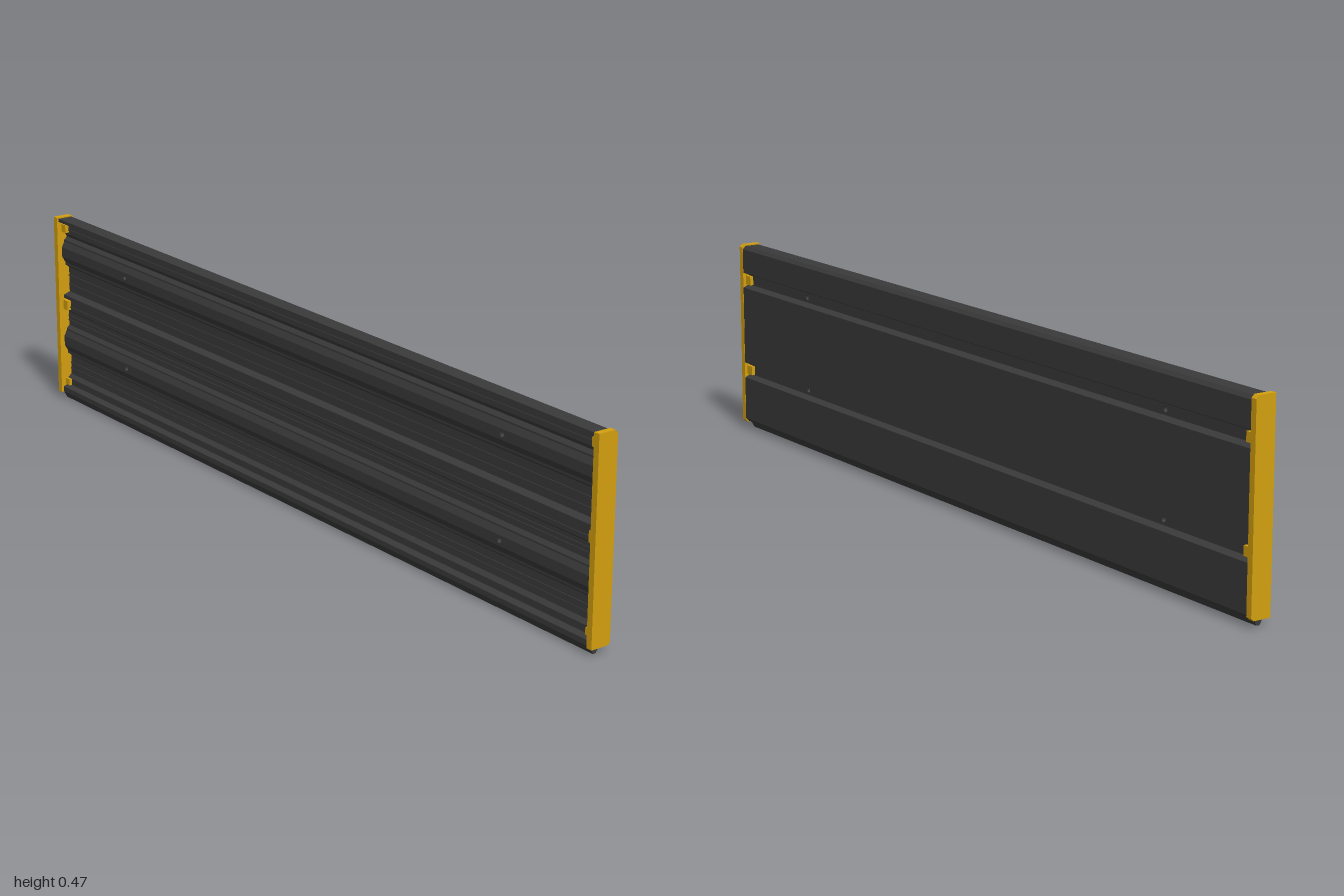
import * as THREE from 'three';

const dark = new THREE.MeshStandardMaterial({ color: 0x3a3a3a, side: THREE.DoubleSide, flatShading: true });
const yellow = new THREE.MeshStandardMaterial({ color: 0xd4a010, side: THREE.DoubleSide, flatShading: true });

const HALF = 0.987;          // half length of the panel between the caps
const BOLT_X = 0.7;
const BOLT_Y = [0.381, 0.151];
const BOLT_R = 0.006;

// Sweep a [z, y] profile along x; flat bands that carry bolt holes are left out.
function sweep(profile, half) {
  const pos = [];
  for (let i = 0; i + 1 < profile.length; i++) {
    const [z0, y0] = profile[i], [z1, y1] = profile[i + 1];
    if (z0 === z1 && BOLT_Y.some((y) => Math.abs((y0 + y1) / 2 - y) < 0.001)) continue;
    pos.push(-half, y0, z0, half, y0, z0, half, y1, z1);
    pos.push(-half, y0, z0, half, y1, z1, -half, y1, z1);
  }
  const g = new THREE.BufferGeometry();
  g.setAttribute('position', new THREE.Float32BufferAttribute(pos, 3));
  g.computeVertexNormals();
  return g;
}

function polygon(points) {
  return new THREE.Shape(points.map(([a, b]) => new THREE.Vector2(a, b)));
}

// Flat strip at height y with the two bolt holes cut out
function drilledStrip(y, h) {
  const s = polygon([[-HALF, y - h], [HALF, y - h], [HALF, y + h], [-HALF, y + h]]);
  for (const x of [-BOLT_X, BOLT_X]) {
    s.holes.push(new THREE.Path().absarc(x, y, BOLT_R, 0, Math.PI * 2, true));
  }
  return new THREE.ShapeGeometry(s, 12);
}

export function createModel() {
  const group = new THREE.Group();
  const add = (name, geometry, material, x = 0, y = 0, z = 0) => {
    const m = new THREE.Mesh(geometry, material);
    m.name = name;
    m.position.set(x, y, z);
    group.add(m);
    return m;
  };

  // Ribbed front face, bottom to top
  const bulge = (c) => [
    [-0.006, c - 0.042], [0.004, c - 0.034], [0.004, c - 0.028], [0.013, c - 0.012],
    [0.013, c + 0.012], [0.006, c + 0.026], [0.006, c + 0.03], [-0.002, c + 0.038],
  ];
  const front = [
    [0.019, 0.018], [0.019, 0.03], [0.006, 0.036], [0.006, 0.052], [-0.004, 0.06],
    ...bulge(BOLT_Y[1]),
    [-0.002, 0.225], [0.003, 0.23], [0.003, 0.258], [0.011, 0.262], [0.011, 0.27], [-0.006, 0.276],
    ...bulge(BOLT_Y[0]),
    [0.003, 0.428], [0.003, 0.452], [0.021, 0.459], [0.021, 0.467],
  ];
  add('frontFace', sweep(front, HALF), dark);

  // Smooth back face with two channels, top to bottom, closed over the top edge
  const channel = (c) => [
    [-0.0235, c + 0.019], [-0.008, c + 0.012], [-0.008, c - 0.012], [-0.0235, c - 0.019],
  ];
  const back = [
    [0.021, 0.467], [-0.016, 0.467], [-0.0235, 0.459],
    ...channel(BOLT_Y[0]), ...channel(BOLT_Y[1]),
    [-0.0235, 0.026], [-0.016, 0.018], [0.019, 0.018],
  ];
  add('backFace', sweep(back, HALF), dark);

  // Drilled bands and the bores joining front to back
  for (const y of BOLT_Y) {
    add('frontBoltBand', drilledStrip(y, 0.012), dark, 0, 0, 0.013);
    add('backBoltBand', drilledStrip(y, 0.012).rotateY(Math.PI), dark, 0, 0, -0.008);
    for (const x of [-BOLT_X, BOLT_X]) {
      const bore = new THREE.CylinderGeometry(BOLT_R, BOLT_R, 0.021, 12, 1, true).rotateX(Math.PI / 2);
      add('boltHole', bore, dark, x, y, 0.0025);
    }
  }

  // Fine raised lines between the bulges
  for (const [y, z] of [[0.075, -0.005], [0.09, -0.005], [0.203, -0.002], [0.214, -0.002],
    [0.295, -0.006], [0.318, -0.006], [0.24, 0.003], [0.44, 0.003]]) {
    add('fineRib', new THREE.BoxGeometry(2 * HALF, 0.003, 0.004), dark, 0, y, z);
  }

  // Hollow V-shaped sealing lip under the panel
  const lip = polygon([
    [0.019, 0.018], [0.009, 0], [0.001, 0], [-0.009, 0.018],
    [-0.005, 0.018], [0.0025, 0.004], [0.0075, 0.004], [0.015, 0.018],
  ]);
  const lipGeo = new THREE.ExtrudeGeometry(lip, { depth: 2 * HALF, bevelEnabled: false });
  // Shape x becomes z, extrusion runs along x
  lipGeo.rotateY(-Math.PI / 2).translate(HALF, 0, 0);
  add('sealingLip', lipGeo, dark);

  // End caps with chamfered back corners
  const cap = polygon([
    [0.025, 0.016], [0.025, 0.47], [-0.017, 0.47], [-0.024, 0.463], [-0.024, 0.022], [-0.018, 0.016],
  ]);
  for (const s of [-1, 1]) {
    const g = new THREE.ExtrudeGeometry(cap, { depth: 0.015, bevelEnabled: false });
    g.rotateY(-Math.PI / 2).translate(s > 0 ? 1 : -0.985, 0, 0);
    const side = s > 0 ? 'left' : 'right';
    add(side + 'EndCap', g, yellow);

    // Locating tabs gripping the front recesses
    for (const [y, h] of [[0.443, 0.02], [0.245, 0.024], [0.044, 0.016]]) {
      add(side + 'FrontTab', new THREE.BoxGeometry(0.022, h, 0.01), yellow, s * 0.978, y, 0.008);
    }
    // Tabs filling the ends of the back channels
    for (const y of BOLT_Y) {
      add(side + 'BackTab', new THREE.BoxGeometry(0.026, 0.022, 0.009), yellow, s * 0.976, y, -0.012);
    }
  }
  return group;
}
